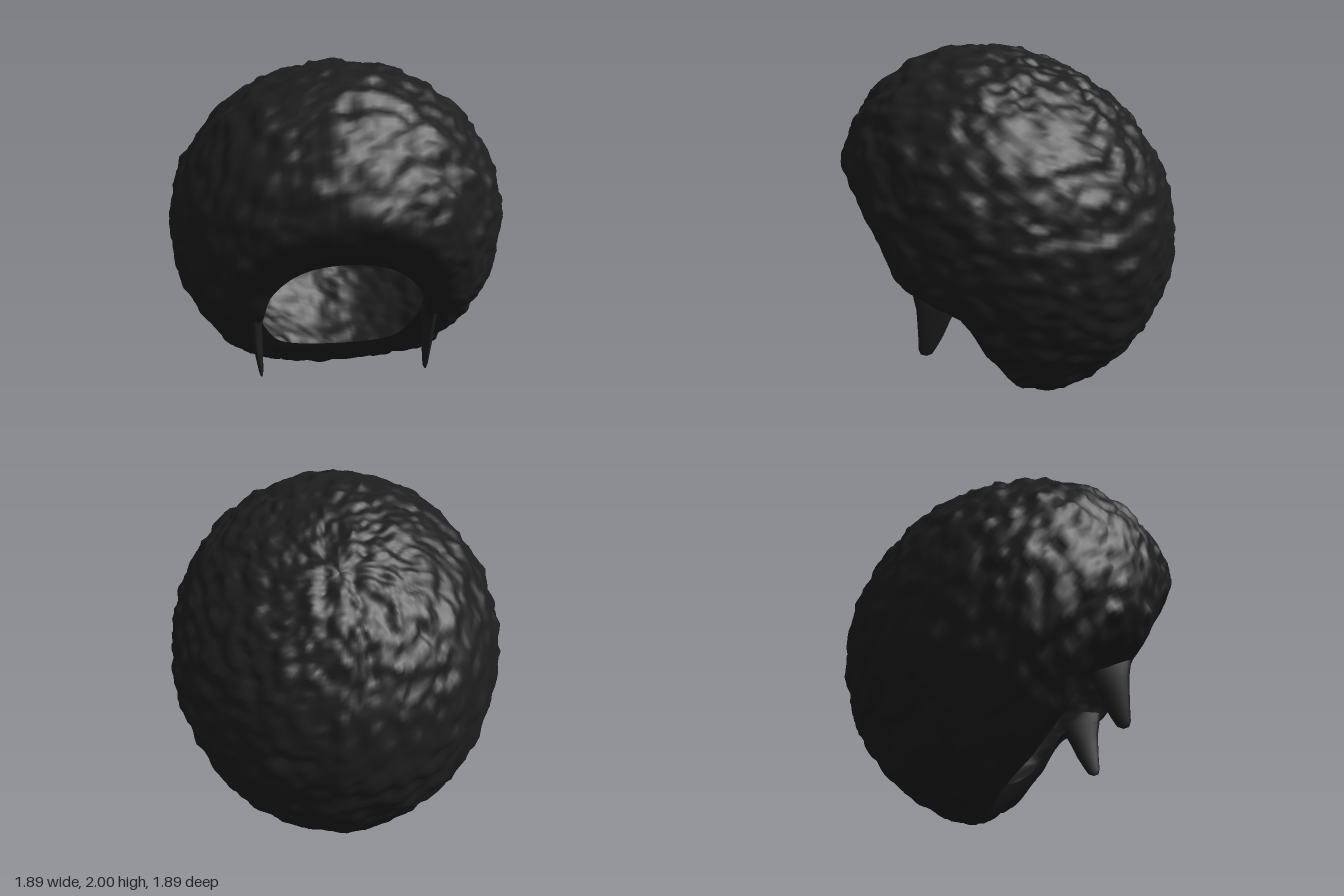
import * as THREE from 'three';

const V = (x, y, z) => new THREE.Vector3(x, y, z);
const CENTRE = V(0, 1.07, 0);
const POLE = V(0, 0.78, -0.62).normalize(); // opposite the face opening
const LONG = V(0, 0.72, 0.69).normalize(); // long axis of the hair mass
const COLS = 180;

// Smooth value noise in -1..1
const hash = (x, y, z) => {
  const s = Math.sin(x * 127.1 + y * 311.7 + z * 74.7) * 43758.5453;
  return (s - Math.floor(s)) * 2 - 1;
};
const ease = (t) => t * t * (3 - 2 * t);
function noise(x, y, z) {
  const [i, j, k] = [x, y, z].map(Math.floor);
  const [u, v, w] = [ease(x - i), ease(y - j), ease(z - k)];
  const { lerp } = THREE.MathUtils;
  const row = (b, c) => lerp(hash(i, b, c), hash(i + 1, b, c), u);
  const plane = (c) => lerp(row(j, c), row(j + 1, c), v);
  return lerp(plane(k), plane(k + 1), w);
}

// Surface of rows x cols points, closed around each row
function loft(rows, cols, point) {
  const pos = [], index = [];
  for (let i = 0; i <= rows; i++) {
    for (let j = 0; j < cols; j++) {
      pos.push(...point(i / rows, j).toArray());
      if (i === rows) continue;
      const a = i * cols + j, b = a + cols;
      const c = i * cols + ((j + 1) % cols), d = c + cols;
      index.push(a, b, c, c, b, d);
    }
  }
  const g = new THREE.BufferGeometry();
  g.setAttribute('position', new THREE.Float32BufferAttribute(pos, 3));
  g.setIndex(index);
  g.computeVertexNormals();
  return g;
}

// Hairline: forehead, temple, ear arch, nape, then mirrored
function hairline() {
  const half = [
    [0.22, 1.08, 0.71], [0.37, 0.94, 0.65], [0.43, 0.75, 0.57], [0.45, 0.7, 0.46],
    [0.455, 0.66, 0.34], [0.42, 0.52, 0.23], [0.35, 0.375, 0.12], [0.2, 0.27, 0],
  ];
  const pts = [
    V(0, 1.12, 0.72), ...half.map((p) => V(...p)),
    V(0, 0.24, -0.04), ...half.slice().reverse().map(([x, y, z]) => V(-x, y, z)),
  ];
  return new THREE.CatmullRomCurve3(pts, true).getSpacedPoints(COLS).slice(0, COLS);
}

// Smooth radius of the hair mass in a direction, fuller at the bottom
function hairRadius(d) {
  const u = d.dot(LONG) ** 2, x = d.x * d.x;
  const r = 1 / Math.sqrt(u / 1.03 + x / 0.85 + (1 - u - x) / 0.75);
  return r + 0.125 * Math.max(0, -d.y) ** 4 - 0.02 * Math.max(0, d.y) ** 4;
}

export function createModel() {
  const group = new THREE.Group();
  const hair = new THREE.MeshStandardMaterial({ color: 0x1d1d1d, side: THREE.DoubleSide });
  hair.name = 'black hair';
  const add = (name, geometry) => {
    const mesh = new THREE.Mesh(geometry, hair);
    mesh.name = name;
    group.add(mesh);
  };

  // Rounded hollow shell with small tufts, rolling in to the hairline
  // over a distance that is widest at the ears and tight at the nape
  const rim = hairline().map((p) => {
    const dir = p.clone().sub(CENTRE);
    const radius = dir.length();
    dir.normalize();
    const ear = Math.exp(-(((dir.y + 0.58) / 0.15) ** 2));
    const roll = 0.3 + 0.14 * Math.min(0, dir.y) + 0.16 * ear;
    return { dir, radius, angle: POLE.angleTo(dir), roll };
  });
  add('hairShell', loft(100, COLS, (s, j) => {
    const { dir, radius, angle, roll } = rim[j];
    const gap = (1 - s) * angle;
    const d = POLE.clone().multiplyScalar(Math.sin(gap))
      .addScaledVector(dir, Math.sin(s * angle)).normalize();
    const f = Math.sin(Math.min(1, gap / roll) * Math.PI / 2);
    const tuft = 0.02 * noise(d.x * 13 + 40, d.y * 13 + 40, d.z * 13 + 40)
      + 0.01 * noise(d.x * 27 + 90, d.y * 27 + 90, d.z * 27 + 90);
    const r = radius + (hairRadius(d) - radius) * f + tuft * f * f;
    return d.multiplyScalar(r).add(CENTRE);
  }));

  // Pointed sideburns: y, centre x, back z, front z, half thickness
  const rings = [
    [0.8, 0.47, 0.42, 0.575, 0.026], [0.73, 0.47, 0.35, 0.568, 0.034],
    [0.66, 0.468, 0.345, 0.555, 0.032], [0.58, 0.463, 0.385, 0.552, 0.027],
    [0.5, 0.456, 0.42, 0.55, 0.02], [0.43, 0.45, 0.46, 0.55, 0.013],
    [0.4, 0.447, 0.48, 0.54, 0.008], [0.39, 0.446, 0.51, 0.512, 0.001],
  ];
  for (const [name, side] of [['leftSideburn', 1], ['rightSideburn', -1]]) {
    add(name, loft(rings.length - 1, 20, (s, j) => {
      const [y, x, back, front, t] = rings[Math.round(s * (rings.length - 1))];
      const a = (j / 20) * Math.PI * 2;
      return V(side * x + t * Math.cos(a), y,
        (back + front) / 2 - ((front - back) / 2) * Math.sin(a));
    }));
  }

  // Stand on the ground, centred
  const box = new THREE.Box3().setFromObject(group);
  const mid = box.getCenter(V(0, 0, 0));
  group.position.set(-mid.x, -box.min.y, -mid.z);
  return group;
}
